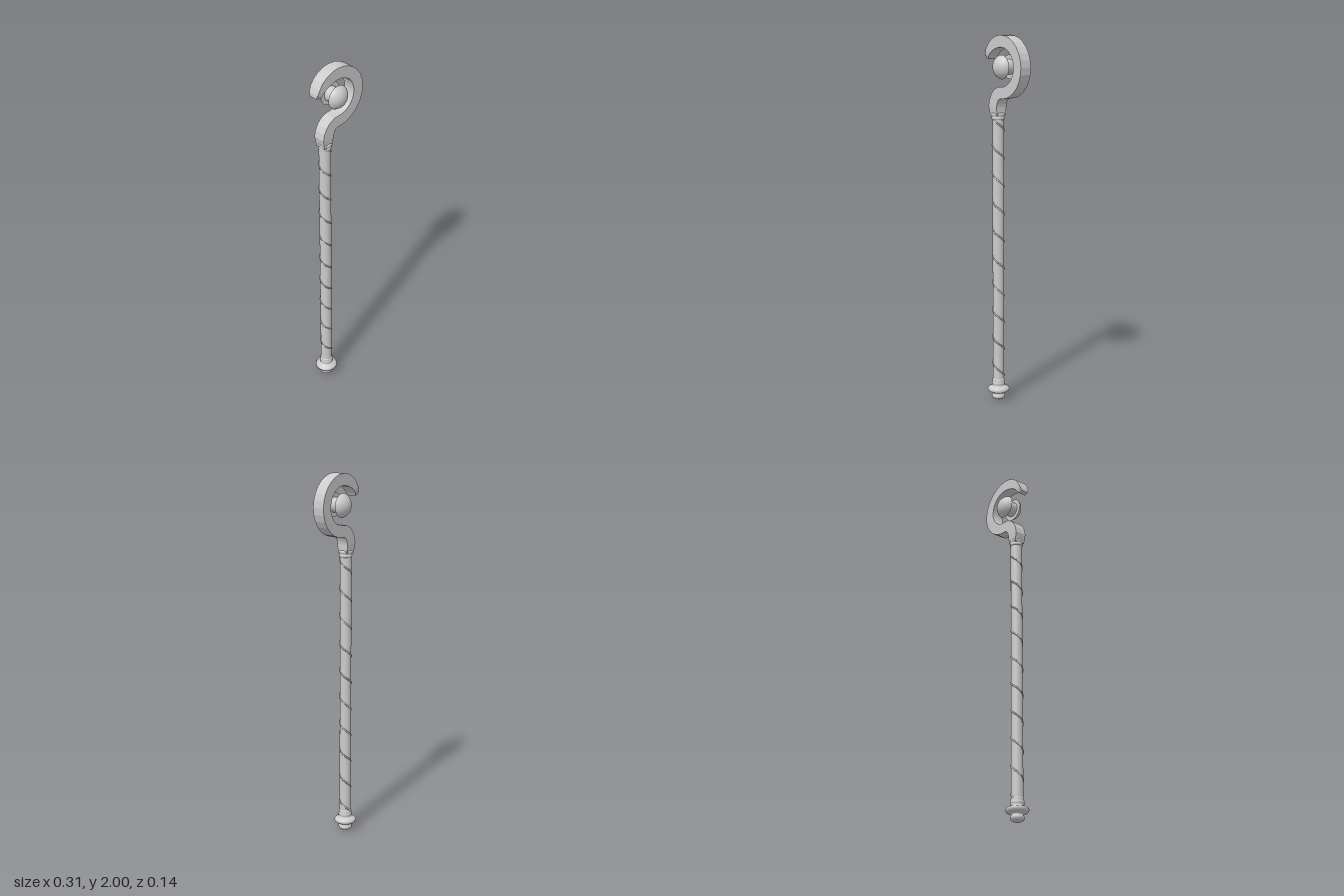
import * as THREE from 'three';

const material = new THREE.MeshStandardMaterial({ color: 0xcccccc, side: THREE.DoubleSide });
const STAFF_X = -0.078;
const RING = { x: -0.012, y: 1.835 };

function addMesh(parent, geometry, name) {
  const mesh = new THREE.Mesh(geometry, material);
  mesh.name = name;
  parent.add(mesh);
  return mesh;
}

const lathe = (pts, segments = 32) =>
  new THREE.LatheGeometry(pts.map(([r, y]) => new THREE.Vector2(r, y)), segments);

// Sweeps a rectangle along stations of [x, y, half thickness, half depth]
function sweepBar(stations) {
  const sections = stations.map(([x, y, h, w], i) => {
    const a = stations[Math.max(i - 1, 0)];
    const b = stations[Math.min(i + 1, stations.length - 1)];
    const t = new THREE.Vector2(b[0] - a[0], b[1] - a[1]).normalize();
    const nx = -t.y * h, ny = t.x * h;
    return [[x + nx, y + ny, w], [x - nx, y - ny, w], [x - nx, y - ny, -w], [x + nx, y + ny, -w]];
  });
  const pos = [];
  const quad = (a, b, c, d) => pos.push(...a, ...b, ...c, ...a, ...c, ...d);
  for (let i = 0; i < sections.length - 1; i++) {
    const s = sections[i], e = sections[i + 1];
    for (let k = 0; k < 4; k++) {
      const n = (k + 1) % 4;
      quad(s[k], s[n], e[n], e[k]);
    }
  }
  const first = sections[0], last = sections[sections.length - 1];
  quad(first[0], first[3], first[2], first[1]);
  quad(last[0], last[1], last[2], last[3]);
  const geometry = new THREE.BufferGeometry();
  geometry.setAttribute('position', new THREE.Float32BufferAttribute(pos, 3));
  geometry.computeVertexNormals();
  return geometry;
}

// S-shaped neck, then a round crook ending in a tapered tip
function hookGeometry() {
  const stations = [
    [-0.079, 1.575, 0.029, 0.029],
    [-0.081, 1.6, 0.031, 0.031],
    [-0.084, 1.625, 0.034, 0.033],
    [-0.079, 1.65, 0.034, 0.033],
    [-0.068, 1.672, 0.033, 0.033],
    [-0.053, 1.689, 0.032, 0.033],
    [-0.033, 1.699, 0.032, 0.033],
  ];
  const arc = (deg, r, h, w) => {
    const a = THREE.MathUtils.degToRad(deg);
    stations.push([RING.x + r * Math.cos(a), RING.y + r * Math.sin(a), h, w]);
  };
  for (let deg = -90; deg <= 105; deg += 13) arc(deg, 0.134, 0.031, 0.033);
  arc(118, 0.135, 0.029, 0.033);
  arc(132, 0.137, 0.025, 0.033);
  arc(145, 0.137, 0.02, 0.033);
  arc(155, 0.137, 0.016, 0.03);
  arc(163, 0.136, 0.012, 0.021);
  return sweepBar(stations);
}

// Sphere with a deep groove around its middle
function orbGeometry() {
  const R = 0.069, cut = 0.027, steps = 12;
  const start = Math.asin(cut / R);
  const dome = [];
  for (let i = 0; i <= steps; i++) {
    const a = start + (Math.PI / 2 - start) * i / steps;
    dome.push([R * Math.cos(a), R * Math.sin(a)]);
  }
  const half = [[0.04, 0], [0.04, cut], [0.04, cut], [dome[0][0], cut], ...dome];
  const lower = half.slice(1).reverse().map(([r, y]) => [r, -y]);
  return lathe([...lower, ...half], 36);
}

// Thin cord winding down the shaft
class Helix extends THREE.Curve {
  getPoint(t, target = new THREE.Vector3()) {
    const top = 1.57, bottom = 0.115, pitch = 0.151;
    const y = top + (bottom - top) * t;
    const a = (0.198 - y) / pitch * Math.PI * 2;
    return target.set(0.0305 * Math.sin(a), y, 0.0305 * Math.cos(a));
  }
}

export function createModel() {
  const model = new THREE.Group();
  model.name = 'hookedStaff';

  const staff = new THREE.Group();
  staff.name = 'staff';
  staff.position.x = STAFF_X;
  model.add(staff);

  const shaft = addMesh(staff, new THREE.CylinderGeometry(0.031, 0.031, 1.48, 24), 'shaft');
  shaft.position.y = 0.83;

  addMesh(staff, new THREE.TubeGeometry(new Helix(), 320, 0.0045, 6), 'spiralCord');

  // Two-ringed collar under the hook
  addMesh(staff, lathe([
    [0.03, 1.555], [0.034, 1.558], [0.035, 1.564], [0.033, 1.569], [0.032, 1.574],
    [0.035, 1.578], [0.037, 1.584], [0.035, 1.59], [0.029, 1.593], [0, 1.594],
  ]), 'topCollar');

  // Foot with a wide rounded flange
  addMesh(staff, lathe([
    [0, 0], [0.02, 0.002], [0.033, 0.009], [0.037, 0.018], [0.036, 0.026], [0.031, 0.032],
    [0.032, 0.04], [0.045, 0.044], [0.056, 0.05], [0.061, 0.06], [0.057, 0.069],
    [0.046, 0.075], [0.036, 0.079], [0.033, 0.085], [0.037, 0.092], [0.037, 0.1],
    [0.033, 0.106], [0.035, 0.112], [0.034, 0.118], [0.03, 0.121],
  ]), 'foot');

  addMesh(model, hookGeometry(), 'hook');

  const orb = addMesh(model, orbGeometry(), 'orb');
  orb.rotation.x = Math.PI / 2;
  orb.position.set(RING.x - 0.002, RING.y, 0);

  return model;
}
